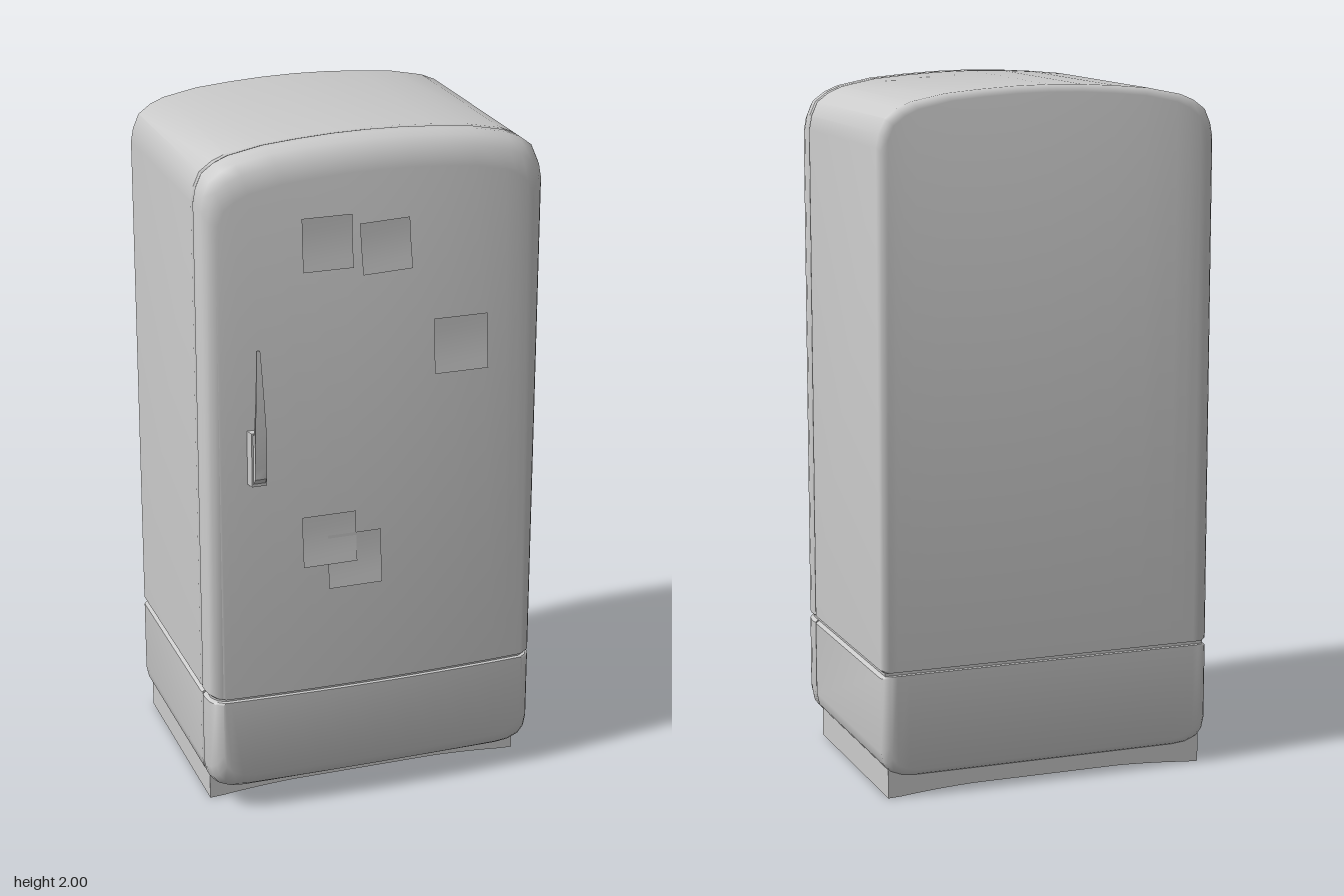
import * as THREE from 'three';
import { toCreasedNormals } from 'three/addons/utils/BufferGeometryUtils.js';

const material = new THREE.MeshStandardMaterial({ color: 0xcccccc });
const sheetMaterial = new THREE.MeshStandardMaterial({ color: 0xcccccc, side: THREE.DoubleSide });

// Half profiles sampled from the centre out to the side (fractions of half width)
const HALF = 0.5;
const COLS = [0, 0.2, 0.4, 0.6, 0.8, 0.88, 0.95, 0.985, 1];
const CROWN = [2, 1.998, 1.992, 1.983, 1.963, 1.946, 1.92, 1.88, 1.84];
const FOOT = [0.06, 0.06, 0.06, 0.06, 0.06, 0.064, 0.078, 0.1, 0.135];
const seam = (y, corner) => COLS.map((u) => (u === 1 ? y + corner : y));
const SEAM_TOP = seam(0.36, -0.006);
const SEAM_BOTTOM = seam(0.371, 0.006);

// Layers from back to front: [z, side inset, height inset, forward bulge]
const CABINET = [[-0.4, 0.022, 0.02, 0], [-0.394, 0.008, 0.007, 0], [-0.382, 0, 0, 0],
  [0.24, 0, 0, 0], [0.245, 0.004, 0.004, 0]];
const DOOR = [[0.254, 0.004, 0.004, 0], [0.259, 0, 0, 0], [0.285, 0, 0, 0],
  [0.314, 0.005, 0.01, 0.003], [0.336, 0.016, 0.035, 0.009], [0.35, 0.036, 0.085, 0.015]];
const CORE = [[-0.388, 0.012, 0.012, 0], [0.3, 0.012, 0.012, 0],
  [0.325, 0.025, 0.04, 0.005], [0.338, 0.045, 0.1, 0.015]];

function mesh(name, geometry, mat = material) {
  const m = new THREE.Mesh(geometry, mat);
  m.name = name;
  return m;
}

// Skin a rounded panel through its layers and close both ends column by column
function panel(name, top, bottom, layers, topInset, bottomInset) {
  const cols = [];
  for (let i = COLS.length - 1; i > 0; i--) cols.push([-COLS[i], i]);
  COLS.forEach((u, i) => cols.push([u, i]));
  const n = cols.length;
  const rings = layers.map(([z, dx, dy, bulge]) => {
    const point = (u, y) => [u * (HALF - dx), y, z + bulge * (1 - u * u)];
    const upper = cols.map(([u, i]) => point(u, top[i] - dy * topInset));
    const lower = cols.map(([u, i]) => point(u, bottom[i] + dy * bottomInset));
    return [...upper, ...lower.reverse()];
  });
  const pos = [];
  const quad = (a, b, c, d) => [a, b, c, a, c, d].forEach((p) => pos.push(...p));
  for (let k = 0; k < rings.length - 1; k++) {
    for (let i = 0; i < 2 * n; i++) {
      const j = (i + 1) % (2 * n);
      quad(rings[k][i], rings[k + 1][i], rings[k + 1][j], rings[k][j]);
    }
  }
  const back = rings[0];
  const front = rings[rings.length - 1];
  for (let i = 0; i < n - 1; i++) {
    const bl = 2 * n - 1 - i;
    quad(front[i], front[bl], front[bl - 1], front[i + 1]);
    quad(back[i], back[i + 1], back[bl - 1], back[bl]);
  }
  const g = new THREE.BufferGeometry();
  g.setAttribute('position', new THREE.Float32BufferAttribute(pos, 3));
  return mesh(name, toCreasedNormals(g, 0.75));
}

// Plinth with a shallow arch along its lower edge
function makeBase() {
  const s = new THREE.Shape();
  s.moveTo(-0.48, 0.1);
  s.lineTo(-0.48, 0);
  s.lineTo(-0.44, 0.002);
  s.quadraticCurveTo(-0.33, 0.013, -0.22, 0.016);
  s.lineTo(0.22, 0.016);
  s.quadraticCurveTo(0.33, 0.013, 0.44, 0.002);
  s.lineTo(0.48, 0);
  s.lineTo(0.48, 0.1);
  const g = new THREE.ExtrudeGeometry(s, { depth: 0.632, bevelEnabled: false });
  g.translate(0, 0, -0.385);
  return mesh('base', g);
}

// Latch plate with a tapering, bowed lever
function makeHandle() {
  const handle = new THREE.Group();
  handle.name = 'handle';
  const plate = new THREE.BoxGeometry(0.054, 0.16, 0.026);
  const p = plate.attributes.position;
  for (let i = 0; i < p.count; i++) {
    if (p.getZ(i) > 0) p.setX(i, p.getX(i) * 0.8);
  }
  plate.computeVertexNormals();
  plate.translate(0, 1.118, 0.367);
  handle.add(mesh('latchPlate', plate));

  const side = new THREE.Shape();
  side.moveTo(0.362, 1.06);
  side.lineTo(0.374, 1.04);
  side.lineTo(0.396, 1.065);
  side.quadraticCurveTo(0.406, 1.23, 0.384, 1.44);
  side.lineTo(0.378, 1.44);
  side.quadraticCurveTo(0.395, 1.29, 0.386, 1.195);
  side.lineTo(0.362, 1.185);
  const lever = new THREE.ExtrudeGeometry(side, { depth: 1, bevelEnabled: false, curveSegments: 10 });
  const q = lever.attributes.position;
  for (let i = 0; i < q.count; i++) {
    const z = q.getX(i), y = q.getY(i);
    const width = THREE.MathUtils.mapLinear(Math.max(y, 1.19), 1.19, 1.44, 0.034, 0.01);
    q.setXYZ(i, (0.5 - q.getZ(i)) * width, y, z);
  }
  handle.add(mesh('lever', toCreasedNormals(lever, 0.5)));
  handle.position.x = -0.358;
  return handle;
}

// Paper sheet whose lower edge lifts away from the door
function makeNote(x, y, w, h, turn) {
  const g = new THREE.PlaneGeometry(w, h, 1, 4);
  const p = g.attributes.position;
  for (let i = 0; i < p.count; i++) {
    const t = 0.5 - p.getY(i) / h;
    p.setZ(i, 0.371 + 0.013 * t * t);
  }
  g.computeVertexNormals();
  const note = mesh('paperNote', g, sheetMaterial);
  note.position.set(x, y, 0);
  note.rotation.z = turn;
  return note;
}

export function createModel() {
  const fridge = new THREE.Group();
  fridge.name = 'refrigerator';
  fridge.add(
    panel('upperCabinet', CROWN, SEAM_BOTTOM, CABINET, 1, 0),
    panel('lowerCabinet', SEAM_TOP, FOOT, CABINET, 0, 1),
    panel('upperDoor', CROWN, SEAM_BOTTOM, DOOR, 1, 0),
    panel('lowerDrawer', SEAM_TOP, FOOT, DOOR, 0, 0.65),
    panel('innerCore', CROWN, FOOT, CORE, 1, 1),
    makeBase(),
    makeHandle()
  );
  const notes = [
    [-0.155, 1.725, 0.145, 0.15, 0],
    [0.015, 1.7, 0.145, 0.145, 0.04],
    [0.24, 1.39, 0.16, 0.16, 0],
    [-0.15, 0.845, 0.16, 0.15, 0],
    [-0.075, 0.775, 0.16, 0.16, 0]
  ];
  // The last sheet overlaps its neighbour, so it sits slightly further out
  notes.forEach((n, i) => {
    const note = makeNote(...n);
    note.position.z = i === 4 ? 0.003 : 0;
    fridge.add(note);
  });
  return fridge;
}
